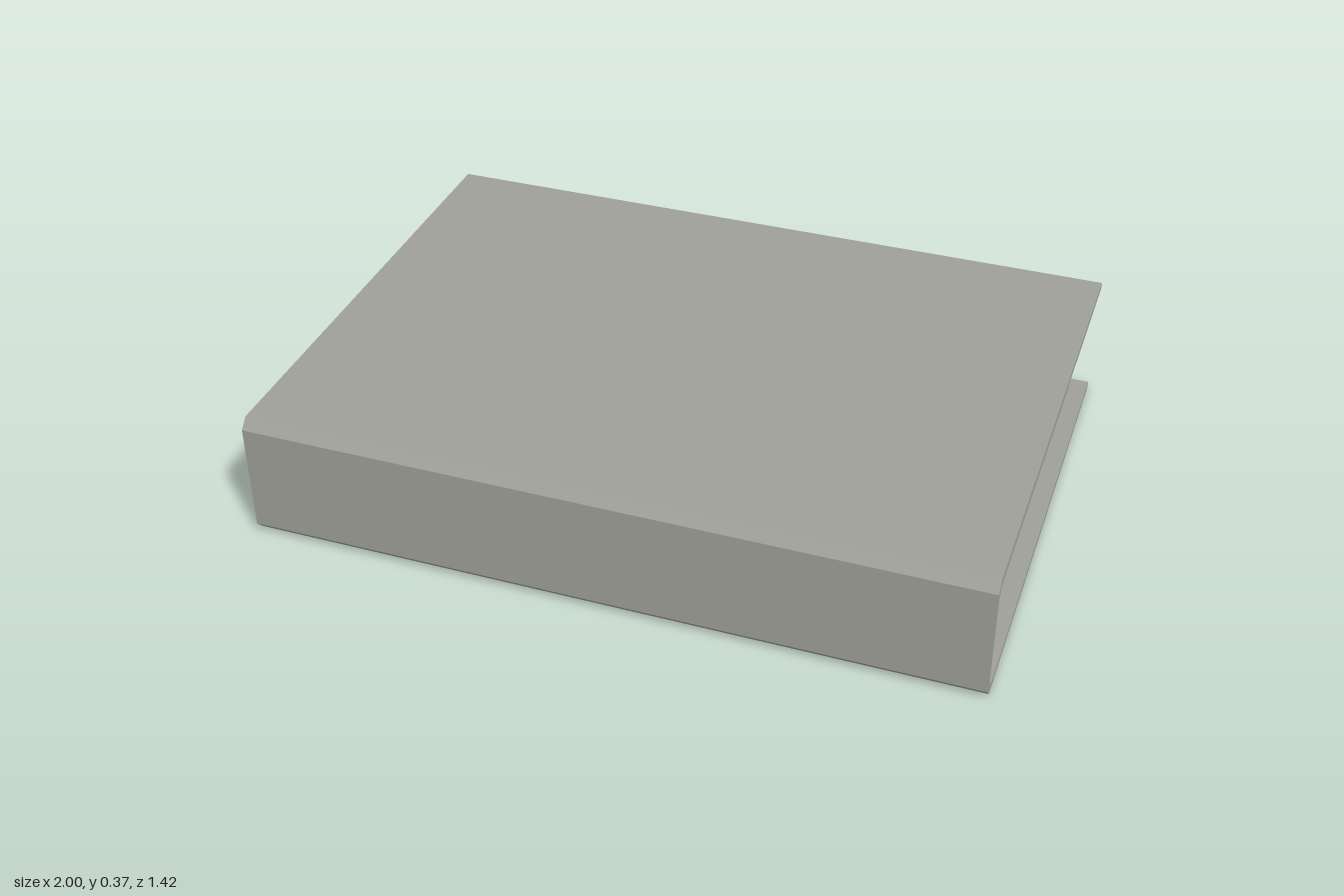
import * as THREE from 'three';

const H = 0.365;

// Extrude a (z, y) profile along x, centred on x = 0
function extrudeAlongX(points, width) {
  const shape = new THREE.Shape(points.map(([z, y]) => new THREE.Vector2(z, y)));
  const geo = new THREE.ExtrudeGeometry(shape, { depth: width, bevelEnabled: false });
  geo.translate(0, 0, -width / 2);
  geo.rotateY(-Math.PI / 2);
  return geo;
}

// Mirror the lower half of a profile about mid-height
function mirrored(lower) {
  return [...lower, ...lower.map(([z, y]) => [z, H - y]).reverse()];
}

export function createModel() {
  const group = new THREE.Group();
  const grey = new THREE.MeshStandardMaterial({ color: 0xa0a09a });
  grey.name = 'warmGrey';

  const add = (name, geo) => {
    const mesh = new THREE.Mesh(geo, grey);
    mesh.name = name;
    group.add(mesh);
  };

  // Cover: C-shaped wrap with a chamfered spine at the front
  const outer = mirrored([[-0.71, 0], [0.685, 0], [0.71, 0.028]]);
  const inner = mirrored([[-0.71, 0.019], [0.667, 0.019], [0.695, 0.05]]).reverse();
  add('cover', extrudeAlongX([...outer, ...inner], 2));

  // Page block: fills the cover, set back from its three open edges
  const pages = mirrored([[-0.66, 0.019], [0.667, 0.019], [0.695, 0.05]]);
  add('pages', extrudeAlongX(pages, 1.9));

  return group;
}
